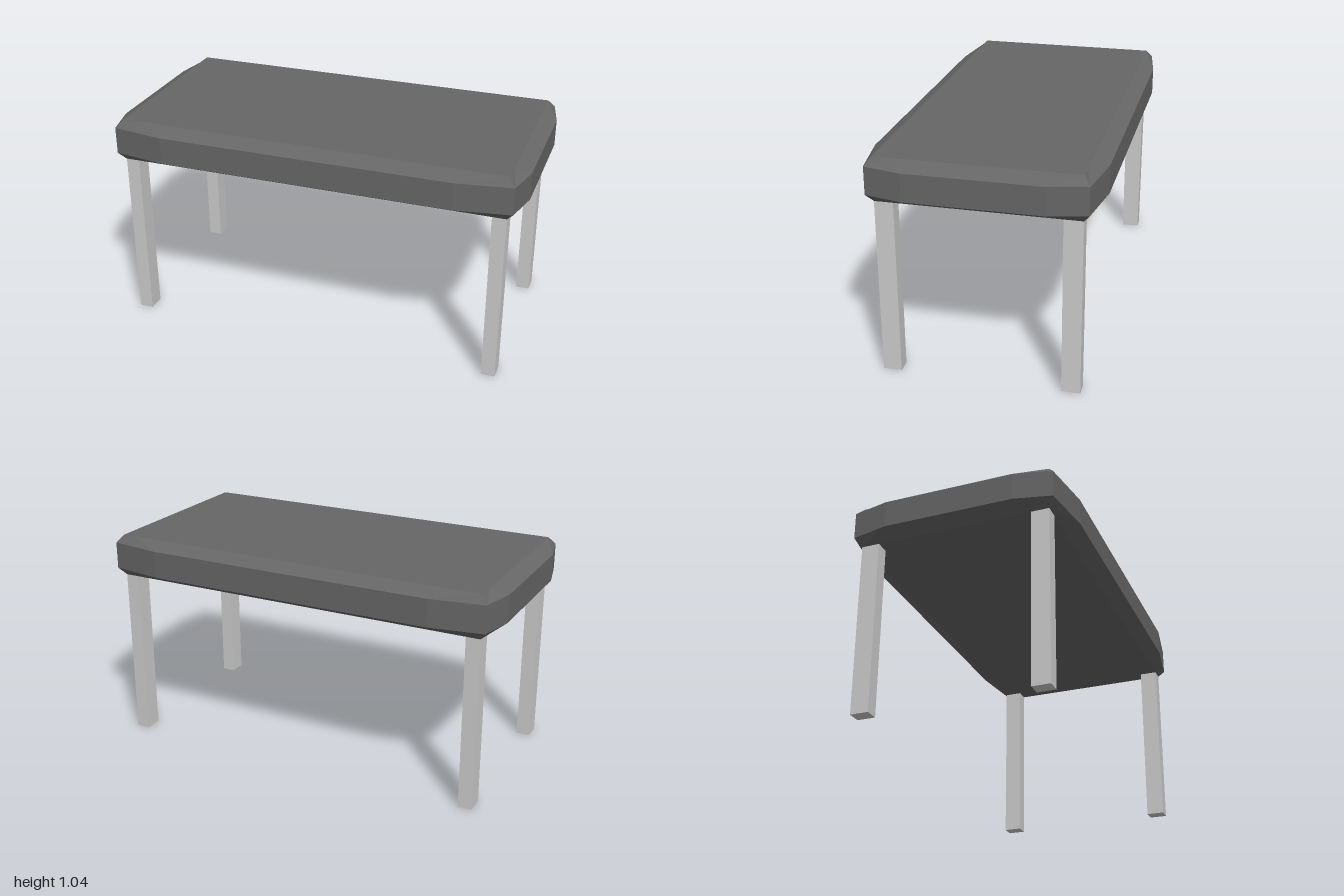
import * as THREE from 'three';

// Twelve-point outline, counter-clockwise from above:
// each quarter has a side point, a corner and an end point, mirrored in x and z.
function outline(quarter, y) {
  const ring = [];
  for (const [sx, sz, flip] of [[1, -1], [-1, -1, true], [-1, 1], [1, 1, true]]) {
    const pts = quarter.map(([x, z]) => [x * sx, y, z * sz]);
    ring.push(...(flip ? pts.reverse() : pts));
  }
  return ring;
}

// Solid through a stack of rings, closed by fans at both ends.
function loft(rings) {
  const pos = [];
  const tri = (a, b, c) => pos.push(...a, ...b, ...c);
  const n = rings[0].length;
  const bottom = rings[0], top = rings[rings.length - 1];
  for (let i = 0; i < n; i++) {
    const j = (i + 1) % n;
    for (let k = 0; k + 1 < rings.length; k++) {
      const a = rings[k], b = rings[k + 1];
      tri(a[i], a[j], b[j]);
      tri(a[i], b[j], b[i]);
    }
    tri([0, top[0][1], 0], top[i], top[j]);
    tri([0, bottom[0][1], 0], bottom[j], bottom[i]);
  }
  const geo = new THREE.BufferGeometry();
  geo.setAttribute('position', new THREE.Float32BufferAttribute(pos, 3));
  geo.computeVertexNormals();
  return geo;
}

export function createModel() {
  const table = new THREE.Group();
  table.name = 'table';
  const topMat = new THREE.MeshStandardMaterial({ color: 0x666666, flatShading: true });
  const legMat = new THREE.MeshStandardMaterial({ color: 0xcccccc, flatShading: true });

  // Thick top with bowed sides and bevelled upper and lower rims
  const rim = [[1, 0.31], [0.96, 0.485], [0.705, 0.525]];
  const face = [[0.93, 0.37], [0.93, 0.457], [0.865, 0.457]];
  const tabletop = new THREE.Mesh(loft([
    outline(face, 0.835), outline(rim, 0.873), outline(rim, 1.003), outline(face, 1.04),
  ]), topMat);
  tabletop.name = 'tabletop';
  table.add(tabletop);

  // Four square legs, flush with the corners of the underside
  const legGeo = new THREE.BoxGeometry(0.066, 0.836, 0.086).translate(0, 0.418, 0);
  for (const x of [-1, 1]) {
    for (const z of [-1, 1]) {
      const leg = new THREE.Mesh(legGeo, legMat);
      leg.name = (z > 0 ? 'front' : 'back') + (x > 0 ? 'Left' : 'Right') + 'Leg';
      leg.position.set(x * 0.897, 0, z * 0.414);
      table.add(leg);
    }
  }
  return table;
}
